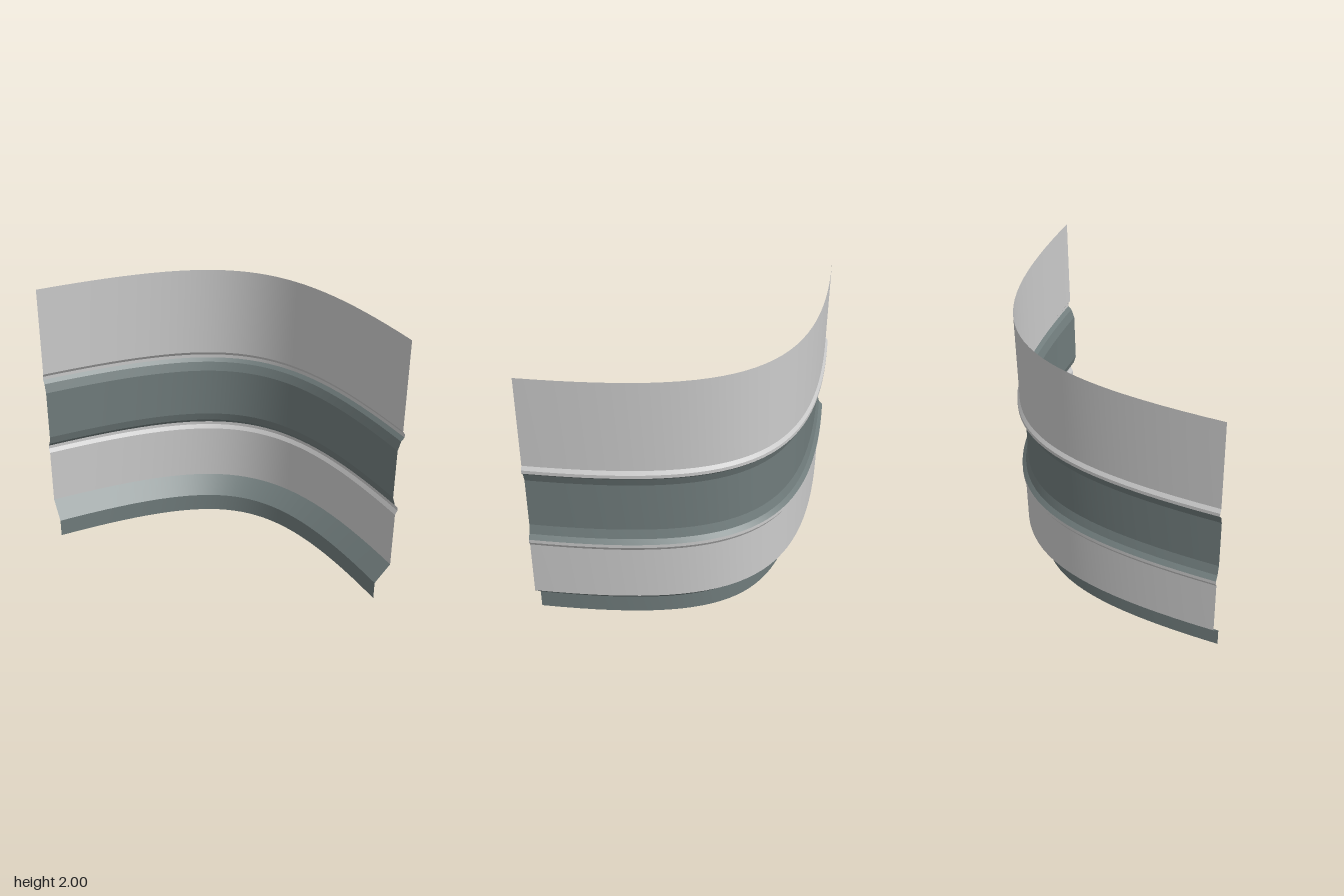
import * as THREE from 'three';
import { mergeGeometries } from 'three/addons/utils/BufferGeometryUtils.js';

const SEGMENTS = 32;

// Plan of the wall: a quarter turn with nearly straight ends
const plan = new THREE.CubicBezierCurve(
  new THREE.Vector2(-0.94, -0.92),
  new THREE.Vector2(0.567, -0.92),
  new THREE.Vector2(0.92, -0.567),
  new THREE.Vector2(0.92, 0.94)
);

// One strip between two profile points [offset from the plan, height], top first
function strip([d0, y0], [d1, y1]) {
  const pos = [], uv = [], index = [];
  for (let i = 0; i <= SEGMENTS; i++) {
    const t = i / SEGMENTS;
    const p = plan.getPoint(t);
    const g = plan.getTangent(t);
    for (const [d, y, v] of [[d0, y0, 1], [d1, y1, 0]]) {
      pos.push(p.x + g.y * d, y, p.y - g.x * d);
      uv.push(t, v);
    }
    if (i < SEGMENTS) {
      const a = i * 2;
      index.push(a, a + 2, a + 1, a + 1, a + 2, a + 3);
    }
  }
  const geo = new THREE.BufferGeometry();
  geo.setAttribute('position', new THREE.Float32BufferAttribute(pos, 3));
  geo.setAttribute('uv', new THREE.Float32BufferAttribute(uv, 2));
  geo.setIndex(index);
  geo.computeVertexNormals();
  return geo;
}

// Strips stay separate so the profile edges are sharp and the curve is smooth
function band(name, profile, material) {
  const strips = profile.slice(1).map((p, i) => strip(profile[i], p));
  const mesh = new THREE.Mesh(mergeGeometries(strips), material);
  mesh.name = name;
  return mesh;
}

export function createModel() {
  const group = new THREE.Group();
  group.name = 'curvedWall';
  const grey = new THREE.MeshStandardMaterial({ color: 0xcccccc, side: THREE.DoubleSide });
  const slate = new THREE.MeshStandardMaterial({ color: 0x707c7c, side: THREE.DoubleSide });

  group.add(
    // Upper wall with its lower lip
    band('upperWall', [[0, 2], [0, 1.34], [0.017, 1.315], [0.017, 1.29]], grey),
    // Recessed middle band with bevelled edges
    band('recessedBand', [[0.017, 1.29], [-0.008, 1.265], [-0.03, 1.2],
      [-0.03, 0.83], [-0.01, 0.765], [0.017, 0.735]], slate),
    // Lower wall with its upper lip
    band('lowerWall', [[0.017, 0.735], [0.017, 0.71], [0, 0.68], [0, 0.26]], grey),
    // Stepped-in base
    band('base', [[0, 0.26], [-0.12, 0.135], [-0.12, 0]], slate)
  );
  return group;
}
